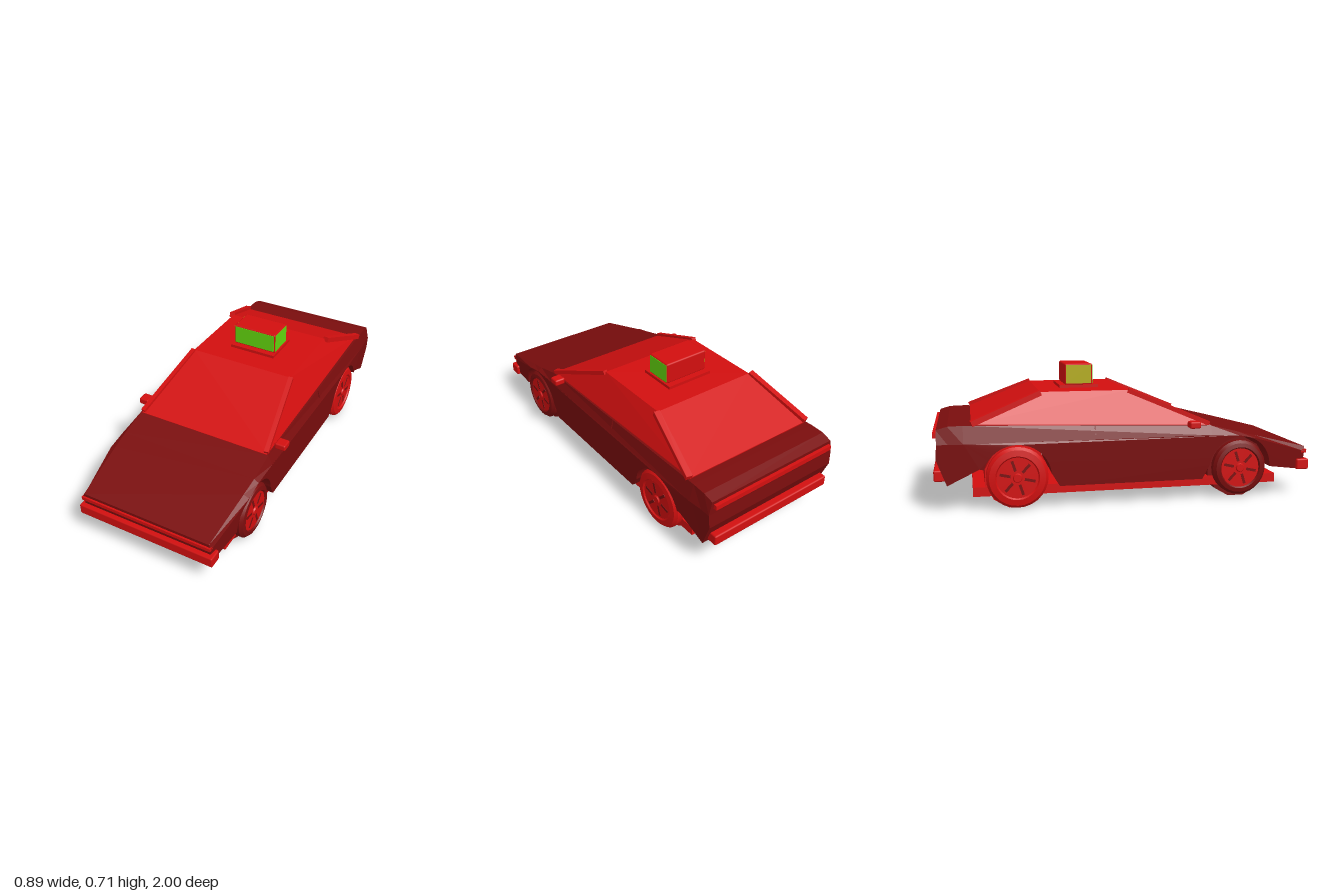
import * as THREE from 'three';
import { ConvexGeometry } from 'three/addons/geometries/ConvexGeometry.js';
import { RoundedBoxGeometry } from 'three/addons/geometries/RoundedBoxGeometry.js';
import { toCreasedNormals } from 'three/addons/utils/BufferGeometryUtils.js';

const material = (name, color) => {
  const m = new THREE.MeshStandardMaterial({ color });
  m.name = name;
  return m;
};

export function createModel() {
  const red = material('bright red', 0xd20f0f);
  const dark = material('dark red', 0x7a0d0d);
  const green = material('sign green', 0x62d40e);
  const olive = material('sign olive', 0xb4ac14);
  const car = new THREE.Group();
  car.name = 'car';

  const add = (name, geometry, mat, x = 0, y = 0, z = 0, parent = car) => {
    const mesh = new THREE.Mesh(geometry, mat);
    mesh.name = name;
    mesh.position.set(x, y, z);
    parent.add(mesh);
    return mesh;
  };
  // Box given by its limits on each axis
  const block = (name, mat, [x0, x1], [y0, y1], [z0, z1], round = 0) => {
    const s = [x1 - x0, y1 - y0, z1 - z0];
    const g = round ? new RoundedBoxGeometry(...s, 1, round) : new THREE.BoxGeometry(...s);
    return add(name, g, mat, (x0 + x1) / 2, (y0 + y1) / 2, (z0 + z1) / 2);
  };
  // Straight bar between two points
  const bar = (name, mat, from, to, w, h) => {
    const a = new THREE.Vector3(...from), b = new THREE.Vector3(...to);
    const mesh = add(name, new THREE.BoxGeometry(w, h, a.distanceTo(b)), mat);
    mesh.position.copy(a).lerp(b, 0.5);
    mesh.lookAt(b);
  };
  // Half width of the body, tapering to the nose
  const halfWidth = z => z > 0.68 ? 0.41 - (z - 0.68) * 0.13 : z < -0.85 ? 0.402 : 0.41;

  // Lower body: side profile with wheel arches, shaped across its width
  const profile = new THREE.Shape();
  profile.moveTo(-0.935, 0.14);
  profile.lineTo(-0.775, 0.22);
  profile.absarc(-0.588, 0.165, 0.173, 2.85, 0.1, true);
  profile.lineTo(-0.375, 0.115);
  profile.lineTo(0.385, 0.115);
  profile.absarc(0.595, 0.165, 0.173, 3.0, 0, true);
  profile.lineTo(0.935, 0.14);
  profile.lineTo(0.97, 0.15);
  profile.lineTo(0.98, 0.235);
  profile.lineTo(0.68, 0.325);
  profile.lineTo(0.58, 0.345);
  profile.lineTo(0.43, 0.35);
  profile.lineTo(-0.85, 0.35);
  profile.lineTo(-0.98, 0.35);
  profile.lineTo(-0.985, 0.275);
  const lower = new THREE.ExtrudeGeometry(profile, { depth: 1, bevelEnabled: false, curveSegments: 14 });
  lower.translate(0, 0, -0.5).rotateY(-Math.PI / 2);
  const p = lower.attributes.position;
  for (let i = 0; i < p.count; i++) {
    const w = halfWidth(p.getZ(i)) - (0.35 - p.getY(i)) * 0.05;
    p.setX(i, Math.sign(p.getX(i)) * w);
  }
  lower.computeVertexNormals();
  add('lowerBody', lower, dark);

  // Upper body: bevelled shoulders, bonnet and boot lid (z, shoulder y, top y, top half width)
  const stations = [
    [0.98, 0.235, 0.262, 0.36], [0.68, 0.325, 0.338, 0.38], [0.58, 0.345, 0.362, 0.385],
    [0.43, 0.35, 0.4, 0.386], [-0.85, 0.35, 0.44, 0.388], [-0.925, 0.35, 0.438, 0.388],
    [-0.98, 0.35, 0.422, 0.385],
  ];
  const verts = [], faces = [];
  stations.forEach(([z, ys, yt, wt], i) => {
    const ws = halfWidth(z);
    verts.push(ws, ys, z, wt, yt, z, -wt, yt, z, -ws, ys, z);
    if (i === stations.length - 1) return;
    for (let j = 0; j < 4; j++) {
      const a = i * 4 + j, b = i * 4 + (j + 1) % 4;
      faces.push(a, a + 4, b, b, a + 4, b + 4);
    }
  });
  const last = (stations.length - 1) * 4;
  faces.push(0, 1, 2, 0, 2, 3, last, last + 2, last + 1, last, last + 3, last + 2);
  const upper = new THREE.BufferGeometry();
  upper.setAttribute('position', new THREE.Float32BufferAttribute(verts, 3));
  upper.setIndex(faces);
  const upperFlat = upper.toNonIndexed();
  upperFlat.computeVertexNormals();
  add('upperBody', upperFlat, dark);

  // Cabin
  const corners = [];
  for (const s of [-1, 1]) {
    for (const [x, y, z] of [[0.38, 0.39, 0.43], [0.378, 0.402, 0.43], [0.3, 0.588, 0],
      [0.3, 0.588, -0.46], [0.375, 0.443, -0.81], [0.378, 0.42, -0.81]]) {
      corners.push(new THREE.Vector3(s * x, y, z));
    }
  }
  add('cabin', new ConvexGeometry(corners), red);

  // Chassis, bumpers and trim strips
  block('chassis', red, [-0.35, 0.35], [0.068, 0.116], [-0.81, 0.815]);
  block('frontBumper', red, [-0.385, 0.385], [0.137, 0.195], [0.93, 1], 0.008);
  block('noseStrip', red, [-0.37, 0.37], [0.228, 0.246], [0.96, 0.99]);
  block('rearBumper', red, [-0.37, 0.37], [0.158, 0.215], [-1, -0.94], 0.008);
  block('tailStrip', red, [-0.375, 0.375], [0.38, 0.405], [-0.998, -0.96]);

  // Pillars, mirrors and door seams on both sides
  for (const s of [-1, 1]) {
    bar('frontPillar', red, [s * 0.372, 0.408, 0.425], [s * 0.302, 0.586, 0], 0.025, 0.022);
    bar('rearPillar', red, [s * 0.309, 0.586, -0.46], [s * 0.381, 0.447, -0.81], 0.032, 0.028);
    const mirror = new RoundedBoxGeometry(0.06, 0.036, 0.06, 1, 0.009);
    add('mirror', mirror, red, s * 0.415, 0.411, 0.33);
    block('mirrorArm', red, [s * 0.385 - 0.02, s * 0.385 + 0.02], [0.4, 0.412], [0.32, 0.34]);
    const seam = add('doorSeam', new THREE.BoxGeometry(0.006, 0.045, 0.006), dark, s * 0.395, 0.395, -0.19);
    seam.rotation.z = s * 0.3;
  }

  // Wheels on full-width axle drums
  for (const [z, mat, radius] of [[0.595, dark, 0.147], [-0.588, red, 0.157]]) {
    const drum = new THREE.CylinderGeometry(0.166, 0.166, 0.68, 12);
    drum.rotateY(Math.PI / 12).rotateZ(Math.PI / 2);
    add('axleDrum', toCreasedNormals(drum, 0.7), mat, 0, 0.162, z);
    for (const s of [-1, 1]) {
      const wheel = new THREE.Group();
      wheel.name = 'wheel';
      wheel.position.set(s * 0.37, 0.167, z);
      wheel.rotation.z = -s * Math.PI / 2;
      car.add(wheel);
      const section = [[0, -0.03], [radius - 0.015, -0.03], [radius, -0.015], [radius, 0.017],
        [radius - 0.014, 0.032], [0.112, 0.036], [0.104, 0.026]];
      const tyre = new THREE.LatheGeometry(section.map(q => new THREE.Vector2(...q)), 28);
      add('tyre', toCreasedNormals(tyre, 0.5), mat, 0, 0, 0, wheel);
      add('rim', new THREE.CylinderGeometry(0.105, 0.105, 0.03, 28), red, 0, 0.014, 0, wheel);
      add('hub', new THREE.CylinderGeometry(0.02, 0.025, 0.008, 12), red, 0, 0.032, 0, wheel);
      for (let i = 0; i < 6; i++) {
        const a = i * Math.PI / 3 + 0.3;
        const slot = add('rimSlot', new THREE.BoxGeometry(0.055, 0.004, 0.014), dark,
          Math.cos(a) * 0.064, 0.029, -Math.sin(a) * 0.064, wheel);
        slot.rotation.y = a;
      }
    }
  }

  // Roof sign with lit panels
  block('signBase', red, [-0.135, 0.135], [0.585, 0.604], [-0.338, -0.127]);
  block('signBox', red, [-0.127, 0.127], [0.602, 0.716], [-0.306, -0.158], 0.008);
  block('signFront', green, [-0.121, 0.121], [0.61, 0.709], [-0.161, -0.156]);
  block('signLeft', green, [0.124, 0.129], [0.61, 0.709], [-0.3, -0.164]);
  block('signRight', olive, [-0.129, -0.124], [0.61, 0.709], [-0.3, -0.164]);
  return car;
}
